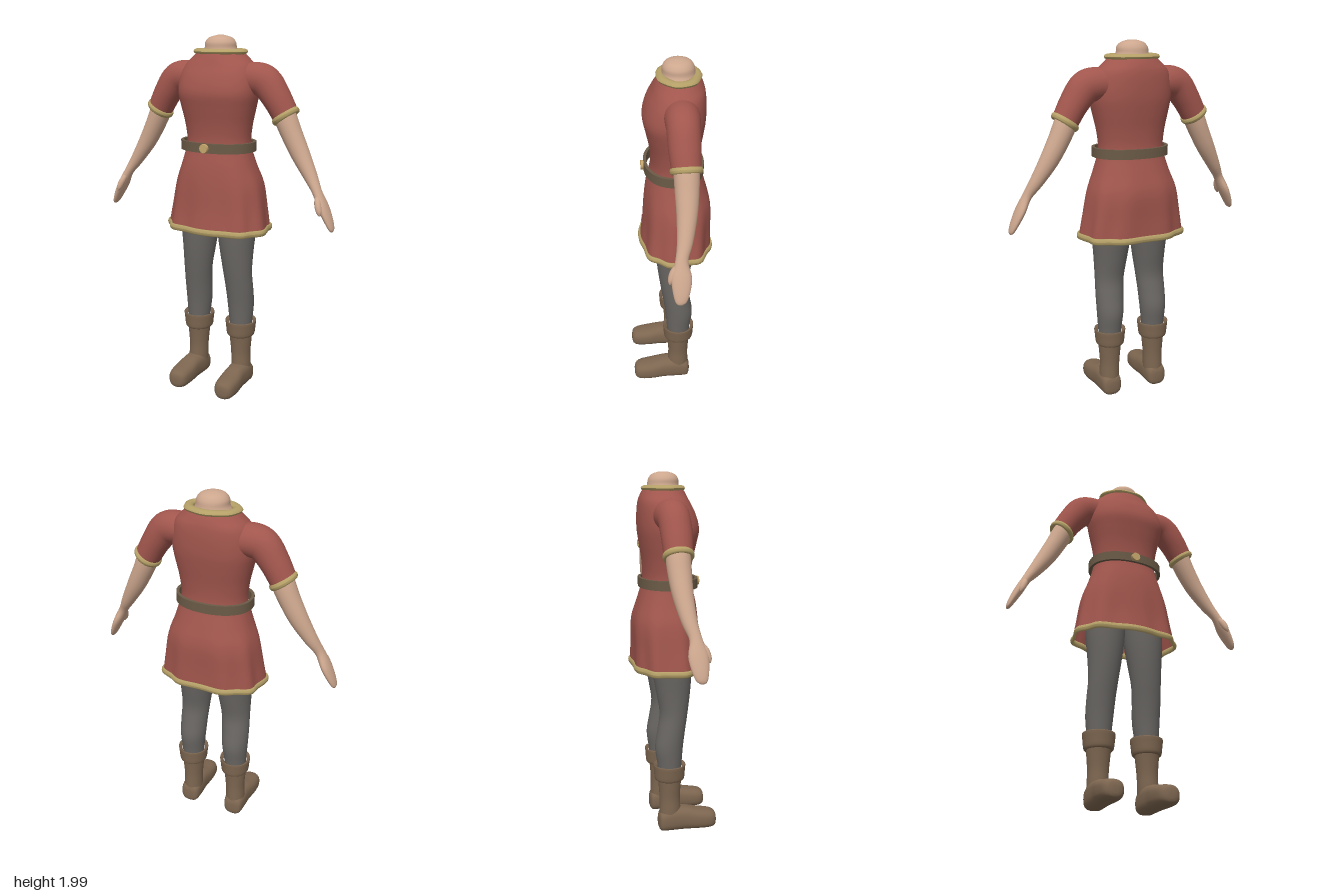
import * as THREE from 'three';
import { toCreasedNormals } from 'three/addons/utils/BufferGeometryUtils.js';

const mat = (name, color, side = THREE.FrontSide) => {
  const m = new THREE.MeshStandardMaterial({ color, side });
  m.name = name;
  return m;
};
const X = new THREE.Vector3(1, 0, 0), Y = new THREE.Vector3(0, 1, 0), Z = new THREE.Vector3(0, 0, 1);

// Smooth loft through cross-sections [x, y, z, radiusSide, radiusRef, squareness = 2].
function loft(sections, { axis = null, ref = Z, steps = 4, sides = 28, caps = true, ripple = null } = {}) {
  const path = new THREE.CatmullRomCurve3(sections.map(s => new THREE.Vector3(s[0], s[1], s[2])), false, 'catmullrom');
  const size = new THREE.CatmullRomCurve3(sections.map(s => new THREE.Vector3(s[3], s[4], s[5] ?? 2)), false, 'catmullrom');
  const rings = (sections.length - 1) * steps;
  const pos = [], idx = [];
  for (let i = 0; i <= rings; i++) {
    const c = path.getPoint(i / rings), r = size.getPoint(i / rings);
    const t = axis ?? path.getTangent(i / rings);
    const side = new THREE.Vector3().crossVectors(t, ref).normalize();
    const up = new THREE.Vector3().crossVectors(side, t).normalize();
    for (let j = 0; j < sides; j++) {
      const a = j / sides * Math.PI * 2, k = ripple ? ripple(a, c.y) : 1;
      const bend = v => Math.sign(v) * Math.pow(Math.abs(v), 2 / r.z);
      const p = c.clone().addScaledVector(side, r.x * k * bend(Math.cos(a))).addScaledVector(up, r.y * k * bend(Math.sin(a)));
      pos.push(p.x, p.y, p.z);
    }
  }
  for (let i = 0; i < rings; i++) for (let j = 0; j < sides; j++) {
    const a = i * sides + j, b = i * sides + (j + 1) % sides;
    idx.push(a, a + sides, b, b, a + sides, b + sides);
  }
  if (caps) for (const end of [0, 1]) {
    const c = path.getPoint(end), n = pos.length / 3, o = end * rings * sides;
    pos.push(c.x, c.y, c.z);
    for (let j = 0; j < sides; j++) {
      const a = o + j, b = o + (j + 1) % sides;
      idx.push(n, end ? b : a, end ? a : b);
    }
  }
  const g = new THREE.BufferGeometry();
  g.setAttribute('position', new THREE.Float32BufferAttribute(pos, 3));
  g.setIndex(idx);
  g.computeVertexNormals();
  return g;
}

// Closed ring of rounded (or square) profile around the y axis.
function band(rx, rz, thick, half, { n = 2, square = false, ...rest } = {}) {
  const profile = [];
  const count = square ? 4 : 10;
  for (let k = 0; k <= count; k++) {
    const a = (square ? k - 0.5 : k) / count * Math.PI * 2, f = square ? Math.SQRT2 : 1;
    const o = thick * f * Math.cos(a);
    profile.push([0, half * f * Math.sin(a), 0, rx + o, rz + o, n]);
  }
  const g = loft(profile, { axis: Y, steps: 1, sides: 56, caps: false, ...rest });
  return square ? toCreasedNormals(g, 0.7) : g;
}

// Cloth folds that grow towards the hem.
const folds = (a, y) => 1 + 0.03 * THREE.MathUtils.clamp((1.32 - y) / 0.3, 0, 1) * Math.sin(9 * a);

export function createModel() {
  const red = mat('red cloth', 0xa1564d, THREE.DoubleSide);
  const gold = mat('gold trim', 0xb5a067, THREE.DoubleSide);
  const skin = mat('skin', 0xcda78e);
  const grey = mat('grey trousers', 0x6a6764);
  const brown = mat('brown boots', 0x7d6650);
  const leather = mat('belt leather', 0x6b5b47);
  const brass = mat('buckle', 0xc6a56c);
  const model = new THREE.Group();
  const add = (name, geo, material, parent = model) => {
    const m = new THREE.Mesh(geo, material);
    m.name = name;
    parent.add(m);
    return m;
  };

  // Neck stump
  add('neck', loft([
    [0, 1.85, -0.045, 0.13, 0.105], [0, 1.9, -0.045, 0.105, 0.092], [0, 1.93, -0.045, 0.088, 0.084],
    [0, 1.96, -0.043, 0.084, 0.08], [0, 1.985, -0.043, 0.062, 0.06], [0, 1.998, -0.043, 0.02, 0.02],
  ], { axis: Y }), skin);

  // Tunic from hem to neckline
  add('tunic', loft([
    [0, 0.945, -0.028, 0.29, 0.19, 2.5], [0, 1.06, -0.034, 0.272, 0.182, 2.5], [0, 1.2, -0.038, 0.25, 0.178, 2.4],
    [0, 1.31, -0.03, 0.212, 0.157, 2.3], [0, 1.42, -0.027, 0.184, 0.13, 2.2], [0, 1.52, -0.025, 0.19, 0.133, 2.3],
    [0, 1.62, -0.022, 0.21, 0.15, 2.4], [0, 1.7, -0.02, 0.225, 0.162, 2.4], [0, 1.78, -0.03, 0.22, 0.153, 2.3],
    [0, 1.84, -0.042, 0.2, 0.136, 2.2], [0, 1.878, -0.045, 0.165, 0.122], [0, 1.91, -0.045, 0.132, 0.105],
  ], { axis: Y, sides: 72, caps: false, ripple: folds }), red);
  add('hemTrim', band(0.291, 0.191, 0.009, 0.018, { n: 2.5, sides: 72, ripple: a => folds(a, 0.945) }), gold)
    .position.set(0, 0.953, -0.028);
  add('collar', band(0.128, 0.09, 0.026, 0.016, { ripple: a => 1 + 0.015 * Math.sin(7 * a) }), gold)
    .position.set(0, 1.912, -0.045);

  // Belt with a round buckle
  add('belt', band(0.206, 0.152, 0.008, 0.026, { n: 2.2, square: true }), leather).position.set(0, 1.412, -0.02);
  const buckle = add('buckle', new THREE.CylinderGeometry(0.024, 0.026, 0.02, 12), brass);
  buckle.rotation.x = Math.PI / 2;
  buckle.position.set(0, 1.412, 0.145);

  for (const s of [1, -1]) {
    const side = s > 0 ? 'left' : 'right';
    const mirrored = list => list.map(([x, ...rest]) => [s * x, ...rest]);

    // Arm: sleeve, trim, forearm, hand
    const arm = new THREE.Group();
    arm.name = side + 'Arm';
    model.add(arm);
    add('sleeve', loft(mirrored([
      [0.13, 1.765, -0.045, 0.08, 0.085], [0.21, 1.775, -0.042, 0.087, 0.088], [0.275, 1.755, -0.04, 0.087, 0.083],
      [0.335, 1.68, -0.04, 0.077, 0.08], [0.388, 1.59, -0.043, 0.07, 0.073],
    ]), { caps: false, steps: 6 }), red, arm);
    const cuff = add('sleeveTrim', band(0.068, 0.07, 0.011, 0.017), gold, arm);
    cuff.position.set(s * 0.388, 1.588, -0.043);
    cuff.rotation.z = s * 0.6;
    add('forearmAndHand', loft(mirrored([
      [0.345, 1.66, -0.043, 0.055, 0.058], [0.385, 1.58, -0.044, 0.06, 0.063], [0.425, 1.495, -0.043, 0.056, 0.06],
      [0.478, 1.395, -0.038, 0.05, 0.052], [0.545, 1.285, -0.022, 0.036, 0.04], [0.592, 1.21, -0.002, 0.025, 0.032],
      [0.63, 1.135, 0.002, 0.025, 0.05], [0.662, 1.07, 0.006, 0.02, 0.043], [0.682, 1.025, 0.01, 0.013, 0.028],
      [0.688, 1.01, 0.01, 0.004, 0.01],
    ])), skin, arm);
    add('thumb', loft(mirrored([
      [0.6, 1.195, 0.012, 0.014, 0.016], [0.614, 1.155, 0.04, 0.018, 0.02], [0.626, 1.12, 0.055, 0.015, 0.015],
      [0.633, 1.098, 0.06, 0.004, 0.004],
    ]), { sides: 14 }), skin, arm);

    // Leg: trousers, boot shaft, folded cuff, foot
    const leg = new THREE.Group();
    leg.name = side + 'Leg';
    model.add(leg);
    add('trouserLeg', loft(mirrored([
      [0.14, 0.3, -0.037, 0.058, 0.06], [0.138, 0.4, -0.038, 0.066, 0.068], [0.136, 0.5, -0.04, 0.075, 0.078],
      [0.133, 0.6, -0.026, 0.079, 0.077], [0.127, 0.7, -0.012, 0.083, 0.078], [0.12, 0.82, -0.014, 0.095, 0.095],
      [0.116, 0.94, -0.02, 0.108, 0.11], [0.113, 1.1, -0.028, 0.115, 0.122],
    ]), { axis: Y }), grey, leg);
    add('bootShaft', loft(mirrored([
      [0.143, 0.06, -0.038, 0.055, 0.06], [0.142, 0.13, -0.036, 0.056, 0.06], [0.14, 0.2, -0.037, 0.056, 0.058],
      [0.139, 0.28, -0.037, 0.063, 0.063], [0.138, 0.34, -0.037, 0.068, 0.07],
    ]), { axis: Y }), brown, leg);
    add('bootCuff', loft(mirrored([
      [0.138, 0.312, -0.038, 0.055, 0.057, 2], [0.138, 0.31, -0.038, 0.074, 0.078, 2], [0.138, 0.325, -0.038, 0.081, 0.085, 2],
      [0.138, 0.36, -0.038, 0.085, 0.087, 2], [0.138, 0.395, -0.038, 0.089, 0.09, 2], [0.138, 0.4, -0.038, 0.084, 0.086, 2],
      [0.138, 0.385, -0.038, 0.068, 0.07, 2],
    ]), { axis: Y, caps: false, steps: 2 }), brown, leg);
    add('foot', loft(mirrored([
      [0.145, 0.058, -0.103, 0.025, 0.03, 2.5], [0.145, 0.062, -0.088, 0.053, 0.056, 2.8], [0.145, 0.072, -0.03, 0.06, 0.067, 2.8],
      [0.147, 0.072, 0.05, 0.059, 0.067, 2.6], [0.149, 0.064, 0.12, 0.063, 0.059, 2.7], [0.15, 0.058, 0.19, 0.058, 0.053, 2.6],
      [0.15, 0.055, 0.22, 0.042, 0.042, 2.4], [0.15, 0.052, 0.229, 0.018, 0.02, 2.2],
    ]), { axis: Z, ref: Y }), brown, leg);
  }
  return model;
}
